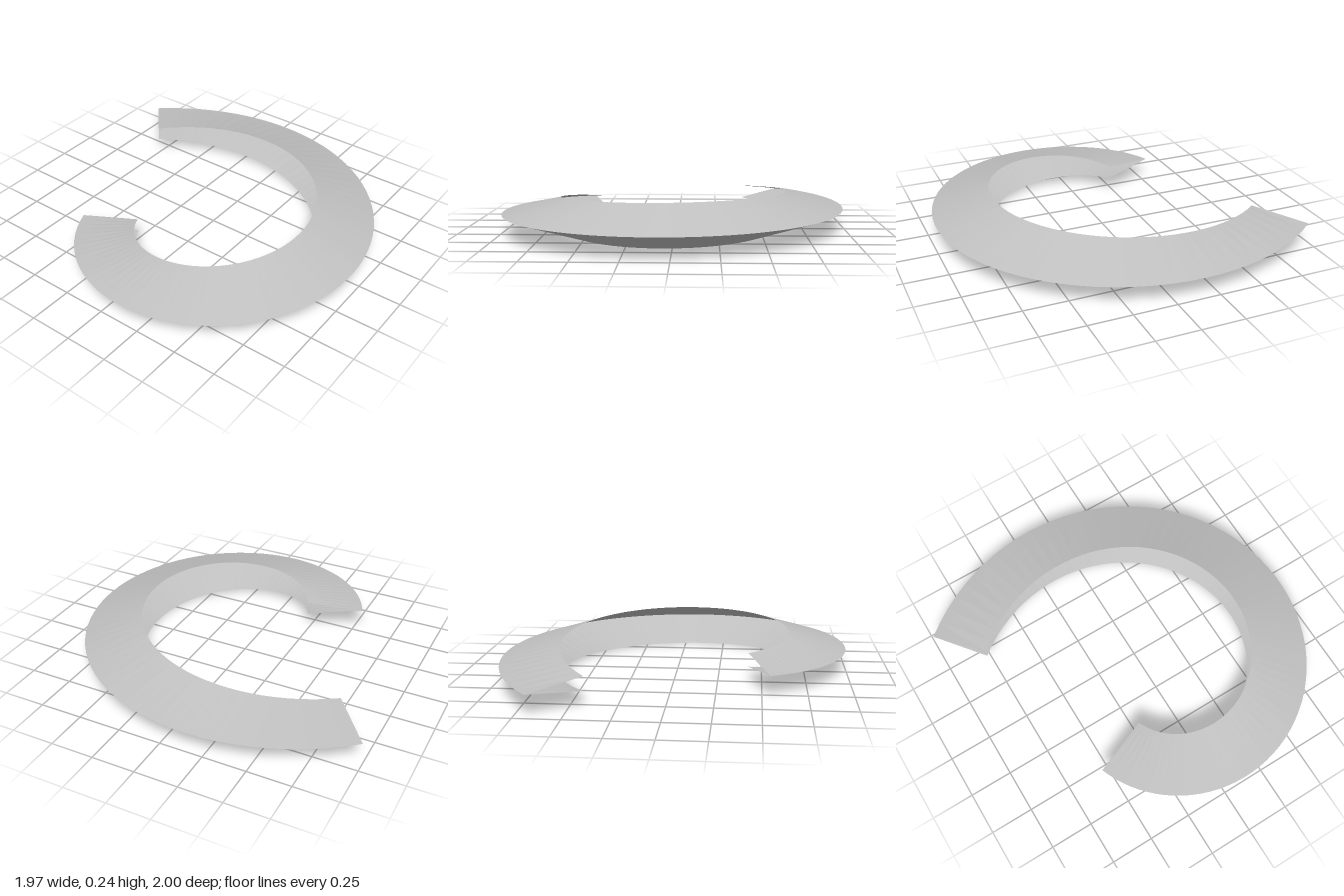
import * as THREE from 'three';

const START = -2.272, END = 2.782;   // directions of the two ends, 0 = +x, positive towards +z
const SEGMENTS = 72;
const TIGHTEN = 0.146;               // how quickly the spiral closes
const WIDTH = 0.34, MID = 0.122, PEAK = 0.122;

const shrink = a => Math.exp(-TIGHTEN * a);

// Outer knife edge: a logarithmic spiral, given by the direction of its normal
function outerEdge(a) {
  const r = shrink(a), c = Math.cos(a), s = Math.sin(a);
  return [0.021 + 0.961 * r * (c + TIGHTEN * s), 0.225 + 0.974 * r * (s - TIGHTEN * c)];
}

// Half height of the open inner side: tallest midway along, low at both ends
function halfHeight(a) {
  const t = (shrink(START) - shrink(a)) / (shrink(START) - shrink(END));
  return PEAK * Math.sin(0.332 + t * (Math.PI - 0.664));
}

// One sloping sheet from the outer edge to the inner rim; side is 1 (upper) or -1 (lower)
function sheetGeometry(side) {
  const positions = [], index = [];
  for (let i = 0; i <= SEGMENTS; i++) {
    const a = START + (END - START) * i / SEGMENTS;
    const [x, z] = outerEdge(a);
    positions.push(x, MID, z);
    positions.push(x - WIDTH * Math.cos(a), MID + side * halfHeight(a), z - WIDTH * Math.sin(a));
    if (i === SEGMENTS) break;
    const o = 2 * i, n = o + 1, o2 = o + 2, n2 = o + 3;
    if (side > 0) index.push(o, n, o2, n, n2, o2);
    else index.push(o, o2, n, n, o2, n2);
  }
  const geometry = new THREE.BufferGeometry();
  geometry.setAttribute('position', new THREE.Float32BufferAttribute(positions, 3));
  geometry.setIndex(index);
  geometry.computeVertexNormals();
  return geometry;
}

export function createModel() {
  const group = new THREE.Group();
  group.name = 'spiralChannel';
  const grey = new THREE.MeshStandardMaterial({ color: 0xc0c0c0, side: THREE.DoubleSide, flatShading: true });
  grey.name = 'light grey';

  // The two sheets meet at the outer edge and stay open inwards and at the ends
  for (const [name, side] of [['upperSheet', 1], ['lowerSheet', -1]]) {
    const mesh = new THREE.Mesh(sheetGeometry(side), grey);
    mesh.name = name;
    group.add(mesh);
  }
  return group;
}
